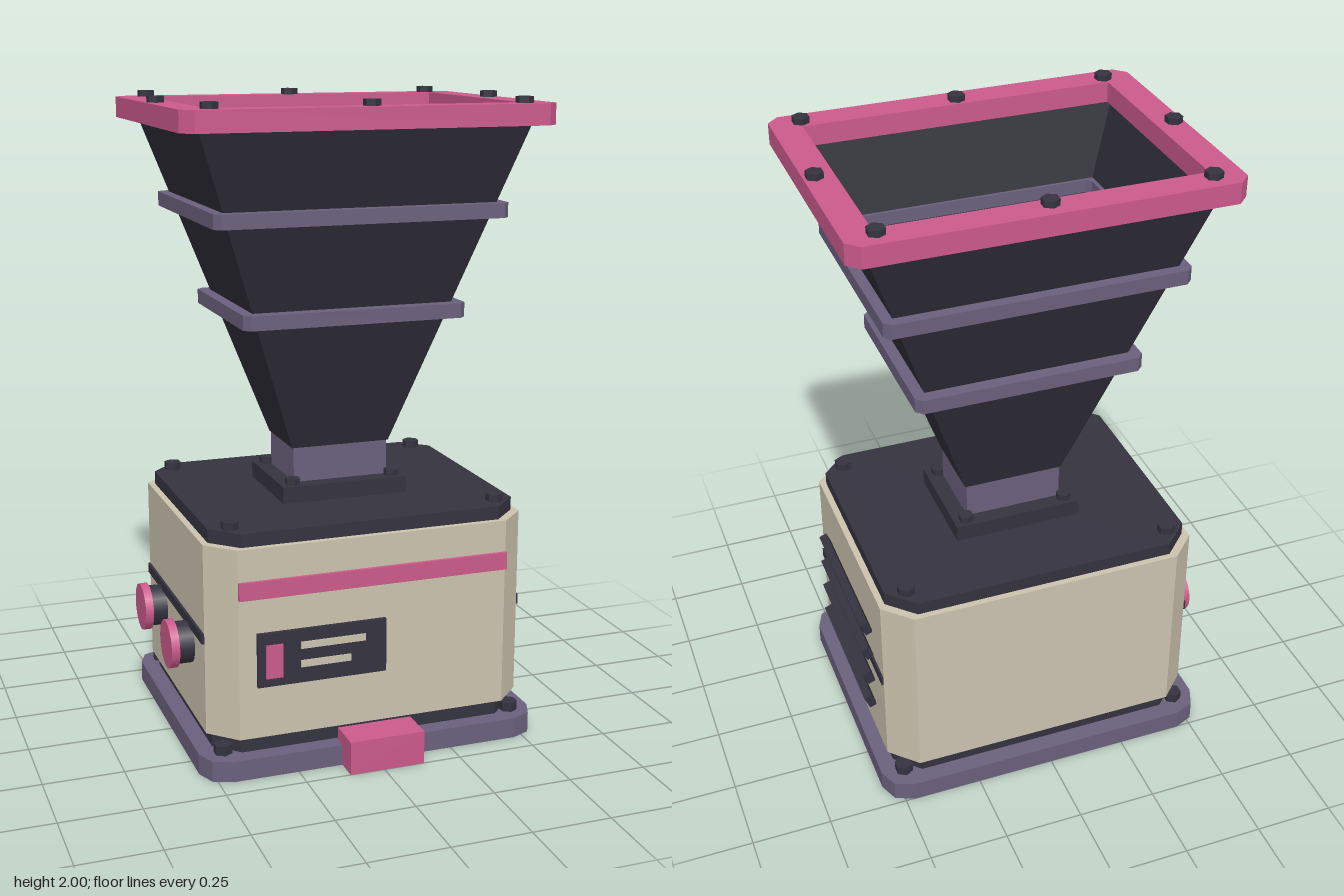
import * as THREE from 'three';

const mat = (name, color, side = THREE.FrontSide) => {
  const m = new THREE.MeshStandardMaterial({ color, side });
  m.name = name;
  return m;
};

// Rectangle outline with cut corners; segs = facets per corner
function outline(path, w, d, r, segs) {
  const corners = [[1, 1], [-1, 1], [-1, -1], [1, -1]];
  const pts = [];
  corners.forEach(([sx, sy], i) => {
    if (!r) { pts.push(new THREE.Vector2(sx * w / 2, sy * d / 2)); return; }
    for (let k = 0; k <= segs; k++) {
      const a = (i + k / segs) * Math.PI / 2;
      pts.push(new THREE.Vector2(sx * (w / 2 - r) + r * Math.cos(a), sy * (d / 2 - r) + r * Math.sin(a)));
    }
  });
  return path.setFromPoints(pts);
}

export function createModel() {
  const root = new THREE.Group();
  root.name = 'hopperMachine';
  const CX = 0.007, CZ = -0.037;

  const pink = mat('pink', 0xcb5a8b);
  const cream = mat('cream', 0xcbc2ae);
  const purple = mat('purple', 0x6a607c);
  const dark = mat('darkTrim', 0x34333f);
  const shell = mat('hopperShell', 0x2e2d37, THREE.DoubleSide);
  const navy = mat('navy', 0x222f49);

  const add = (name, geo, material, x, y, z, parent = root) => {
    const m = new THREE.Mesh(geo, material);
    m.name = name;
    m.position.set(x, y, z);
    parent.add(m);
    return m;
  };

  // Horizontal plate from y0 to y1, optionally with a hole
  const plate = (name, material, w, d, y0, y1, r = 0, segs = 1, hole = null) => {
    const s = outline(new THREE.Shape(), w, d, r, segs);
    if (hole) s.holes.push(outline(new THREE.Path(), hole[0], hole[1], hole[2] || 0, 1));
    const g = new THREE.ExtrudeGeometry(s, { depth: y1 - y0, bevelEnabled: false });
    g.rotateX(-Math.PI / 2);
    return add(name, g, material, CX, y0, CZ);
  };

  // Box given by its extents
  const box = (name, material, x0, x1, y0, y1, z0, z1) =>
    add(name, new THREE.BoxGeometry(x1 - x0, y1 - y0, z1 - z0), material,
      (x0 + x1) / 2, (y0 + y1) / 2, (z0 + z1) / 2);

  // Hexagonal bolt heads
  const bolts = (name, material, r, h, y, spots) => {
    const group = new THREE.Group();
    group.name = name;
    const g = new THREE.CylinderGeometry(r, r, h, 6).toNonIndexed();
    g.computeVertexNormals();
    spots.forEach(([x, z]) => add('bolt', g, material, CX + x, y + h / 2, CZ + z, group));
    root.add(group);
  };
  const four = (x, z) => [[x, z], [-x, z], [x, -z], [-x, -z]];

  // Base, body and lid
  plate('basePlate', purple, 1.095, 0.93, 0, 0.065, 0.085, 2);
  plate('lowerGasket', dark, 0.99, 0.82, 0.065, 0.115, 0.075);
  plate('body', cream, 1.03, 0.86, 0.115, 0.715, 0.083);
  plate('lid', dark, 0.99, 0.82, 0.715, 0.757, 0.08);
  bolts('baseBolts', dark, 0.029, 0.03, 0.065, four(0.475, 0.39));
  bolts('lidBolts', dark, 0.028, 0.024, 0.757, four(0.43, 0.345));

  // Neck
  plate('neckFlange', dark, 0.41, 0.335, 0.757, 0.81);
  bolts('neckBolts', dark, 0.024, 0.02, 0.81, four(0.165, 0.135));
  plate('neck', purple, 0.31, 0.235, 0.81, 0.92);
  plate('throat', navy, 0.24, 0.17, 0.92, 0.926);

  // Hopper: thin four-sided funnel, open at both ends
  const ring = (hw, hd, y) => [[hw, y, hd], [hw, y, -hd], [-hw, y, -hd], [-hw, y, hd]];
  const lo = ring(0.16, 0.118, 0.92), hi = ring(0.51, 0.373, 1.92);
  const pos = [];
  for (let i = 0; i < 4; i++) {
    const j = (i + 1) % 4;
    pos.push(...lo[i], ...lo[j], ...hi[j], ...lo[i], ...hi[j], ...hi[i]);
  }
  const funnel = new THREE.BufferGeometry();
  funnel.setAttribute('position', new THREE.Float32BufferAttribute(pos, 3));
  funnel.computeVertexNormals();
  add('hopper', funnel, shell, CX, 0, CZ);

  // Collars around the hopper and the top rim
  plate('lowerCollar', purple, 0.71, 0.55, 1.33, 1.375, 0.02, 1, [0.616, 0.45, 0.015]);
  plate('upperCollar', purple, 0.92, 0.695, 1.64, 1.685, 0.02, 1, [0.83, 0.605, 0.015]);
  plate('rim', pink, 1.145, 0.873, 1.917, 1.981, 0.036, 1, [0.965, 0.69]);
  bolts('rimBolts', dark, 0.027, 0.02, 1.98,
    [...four(0.48, 0.378), [0, 0.378], [0, -0.378], [0.54, 0], [-0.54, 0]]);

  // Front details
  box('frontStripe', pink, -0.425, 0.44, 0.56, 0.615, 0.39, 0.405);
  box('controlPanel', dark, -0.37, 0.04, 0.28, 0.45, 0.39, 0.405);
  box('indicator', pink, -0.345, -0.292, 0.307, 0.413, 0.404, 0.41);
  box('panelLineLong', cream, -0.235, -0.028, 0.389, 0.411, 0.404, 0.409);
  box('panelLineShort', cream, -0.235, -0.075, 0.33, 0.352, 0.404, 0.409);
  box('frontLatch', pink, -0.11, 0.13, 0, 0.105, 0.385, 0.5);

  // Side bands and tilted louvres
  box('leftBand', dark, 0.51, 0.528, 0.403, 0.435, -0.38, 0.31);
  box('rightBand', dark, -0.516, -0.5, 0.403, 0.435, -0.38, 0.31);
  [0.245, 0.348, 0.45, 0.552].forEach((y) => {
    const l = add('louvre', new THREE.BoxGeometry(0.026, 0.046, 0.48), dark, 0.539, y, -0.035);
    l.rotation.z = -0.4;
  });

  // Knobs on the right side
  [-0.21, 0.132].forEach((z) => {
    const stem = add('knobStem', new THREE.CylinderGeometry(0.066, 0.066, 0.06, 20), dark, -0.53, 0.347, z);
    const cap = add('knobCap', new THREE.CylinderGeometry(0.076, 0.076, 0.026, 20), pink, -0.57, 0.347, z);
    stem.rotation.z = cap.rotation.z = Math.PI / 2;
  });

  return root;
}
